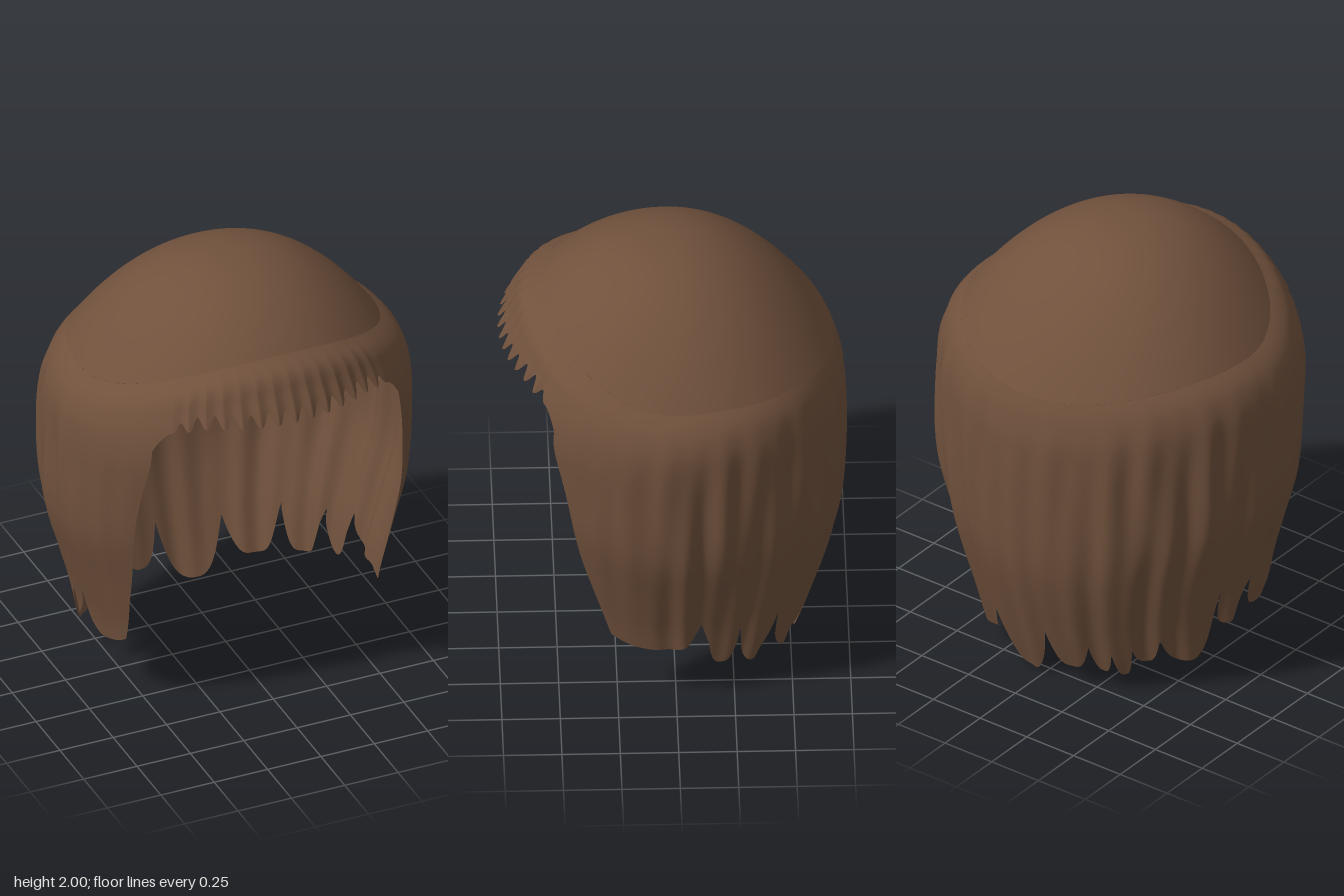
import * as THREE from 'three';
import { mergeVertices } from 'three/addons/utils/BufferGeometryUtils.js';

const { lerp, clamp, smoothstep, degToRad } = THREE.MathUtils;
const { sin, cos, abs, pow, PI } = Math;

// Smooth curve through [x, y] knots
function curve(knots) {
  const slope = (i) => {
    const a = knots[Math.max(i - 1, 0)], b = knots[Math.min(i + 1, knots.length - 1)];
    return (b[1] - a[1]) / (b[0] - a[0]);
  };
  return (x) => {
    x = clamp(x, knots[0][0], knots[knots.length - 1][0]);
    let i = 0;
    while (i < knots.length - 2 && x > knots[i + 1][0]) i++;
    const [x0, y0] = knots[i], [x1, y1] = knots[i + 1];
    const h = x1 - x0, t = (x - x0) / h, t2 = t * t, t3 = t2 * t;
    return y0 * (2 * t3 - 3 * t2 + 1) + y1 * (3 * t2 - 2 * t3)
      + h * (slope(i) * (t3 - 2 * t2 + t) + slope(i + 1) * (t3 - t2));
  };
}

// Half-widths of the hair by drop below the seam
const sideRadius = curve([[0, 0.68], [0.03, 0.72], [0.08, 0.76], [0.18, 0.795], [0.38, 0.805],
  [0.72, 0.795], [1.0, 0.72], [1.22, 0.66], [1.5, 0.62]]);
const backRadius = curve([[0, 0.685], [0.08, 0.715], [0.23, 0.74], [0.68, 0.73], [0.93, 0.7],
  [1.28, 0.6], [1.48, 0.53]]);
const frontRadius = curve([[0, 0.56], [0.04, 0.64], [0.12, 0.69], [0.22, 0.74], [0.34, 0.765],
  [0.6, 0.73], [1.0, 0.69], [1.3, 0.66], [1.5, 0.62]]);
// Angle of the face opening by height
const openingAngle = curve([[0.3, 66], [0.5, 61], [0.8, 54], [1.2, 49], [1.42, 46], [1.7, 46]]);

// Seam height around the head; angle 0 is the front
function seamHeight(angle) {
  const c = cos(angle);
  return c > 0 ? 1.575 + 0.205 * c * c : 1.575 - 0.095 * pow(-c, 3);
}

// Point on the hair shell, pushed outwards by ripple
function hairPoint(angle, y, ripple = 0) {
  const d = Math.max(0, seamHeight(angle) - y);
  const rz = cos(angle) > 0 ? frontRadius(d) : backRadius(d);
  return [(sideRadius(d) + ripple) * sin(angle), y, (rz + ripple) * cos(angle)];
}

// Grid surface: u runs round the head, v runs downwards
function surface(cols, rows, point) {
  const positions = [], index = [];
  for (let i = 0; i <= cols; i++)
    for (let j = 0; j <= rows; j++) positions.push(...point(i / cols, j / rows));
  for (let i = 0; i < cols; i++)
    for (let j = 0; j < rows; j++) {
      const a = i * (rows + 1) + j, b = a + 1, c = a + rows + 1, d = c + 1;
      index.push(a, b, c, b, d, c);
    }
  let g = new THREE.BufferGeometry();
  g.setAttribute('position', new THREE.Float32BufferAttribute(positions, 3));
  g.setIndex(index);
  g = mergeVertices(g, 1e-5);
  g.computeVertexNormals();
  return g;
}

// Locks along the hem: start angle from the back, tip height, height of the gap at the start
const locks = [
  [-114, 0.28, 0.33], [-88, 0.27, 0.47], [-74, 0.13, 0.45], [-50, 0.15, 0.28], [-39, 0.08, 0.22],
  [-31, 0.09, 0.2], [-22, 0.09, 0.22], [-5, 0, 0.26], [21, 0.09, 0.25], [44, 0.13, 0.33],
  [63, 0.18, 0.36], [78, 0.28, 0.42], [114, 0.28, 0.33],
];
function hemHeight(deg) {
  let i = 0;
  while (i < locks.length - 2 && deg >= locks[i + 1][0]) i++;
  const [from, tip, gapA] = locks[i], [to, , gapB] = locks[i + 1];
  const s = clamp((2 * (deg - from)) / (to - from) - 1, -1, 1);
  return tip + ((s < 0 ? gapA : gapB) - tip) * pow(abs(s), 3);
}

// Domed crown inside the seam
function crownPoint(u, v) {
  const angle = -PI + u * 2 * PI;
  const [x, y, z] = hairPoint(angle, seamHeight(angle));
  return [x * v, 2 - (2 - y) * pow(v, 2.25), lerp(0.05, z, v)];
}

// Long hair at the sides and back, with wavy strands
function longHairPoint(u, v) {
  const top = seamHeight(degToRad(lerp(46, 314, u)));
  const y = lerp(top, hemHeight(114 - 228 * u), pow(v, 1.25));
  const edge = degToRad(openingAngle(y));
  const angle = lerp(edge, 2 * PI - edge, u);
  const a = PI - angle, deg = abs(a) * 180 / PI;
  const weight = (0.5 + 0.5 * smoothstep(deg, 15, 45)) * (1 - 0.75 * smoothstep(deg, 82, 105))
    * smoothstep(top - y, 0, 0.4) * smoothstep(Math.min(u, 1 - u), 0, 0.06);
  const sway = 1.3 * sin(2.6 * y + 0.5);
  const wave = 0.6 * sin(21 * a + sway) + 0.4 * sin(34 * a - 0.7 * sway + 1) + 0.25 * sin(11 * a + 2);
  return hairPoint(angle, y, 0.017 * weight * wave);
}

// Short fringe with a scalloped lower edge
function fringePoint(u, v) {
  const deg = lerp(-46, 46, u), angle = degToRad(deg);
  const fade = 1 - smoothstep(abs(deg), 33, 42);
  const strand = abs(sin((deg * PI) / 5.6));
  const corner = pow(Math.max(0, (abs(deg) - 37) / 9), 2);
  const hem = 1.55 - 0.03 * smoothstep(abs(deg), 25, 40) - 0.1 * corner + 0.05 * fade * pow(strand, 3);
  const y = lerp(seamHeight(angle), hem, pow(v, 1.25));
  return hairPoint(angle, y, 0.014 * fade * v * (0.5 - strand));
}

export function createModel() {
  const model = new THREE.Group();
  model.name = 'wig';
  const brown = new THREE.MeshStandardMaterial({ color: 0x70513c, side: THREE.DoubleSide });
  brown.name = 'brown hair';
  const add = (name, geometry) => {
    const mesh = new THREE.Mesh(geometry, brown);
    mesh.name = name;
    model.add(mesh);
  };
  add('crown', surface(144, 28, crownPoint));
  add('longHair', surface(456, 32, longHairPoint));
  add('fringe', surface(230, 16, fringePoint));
  return model;
}
